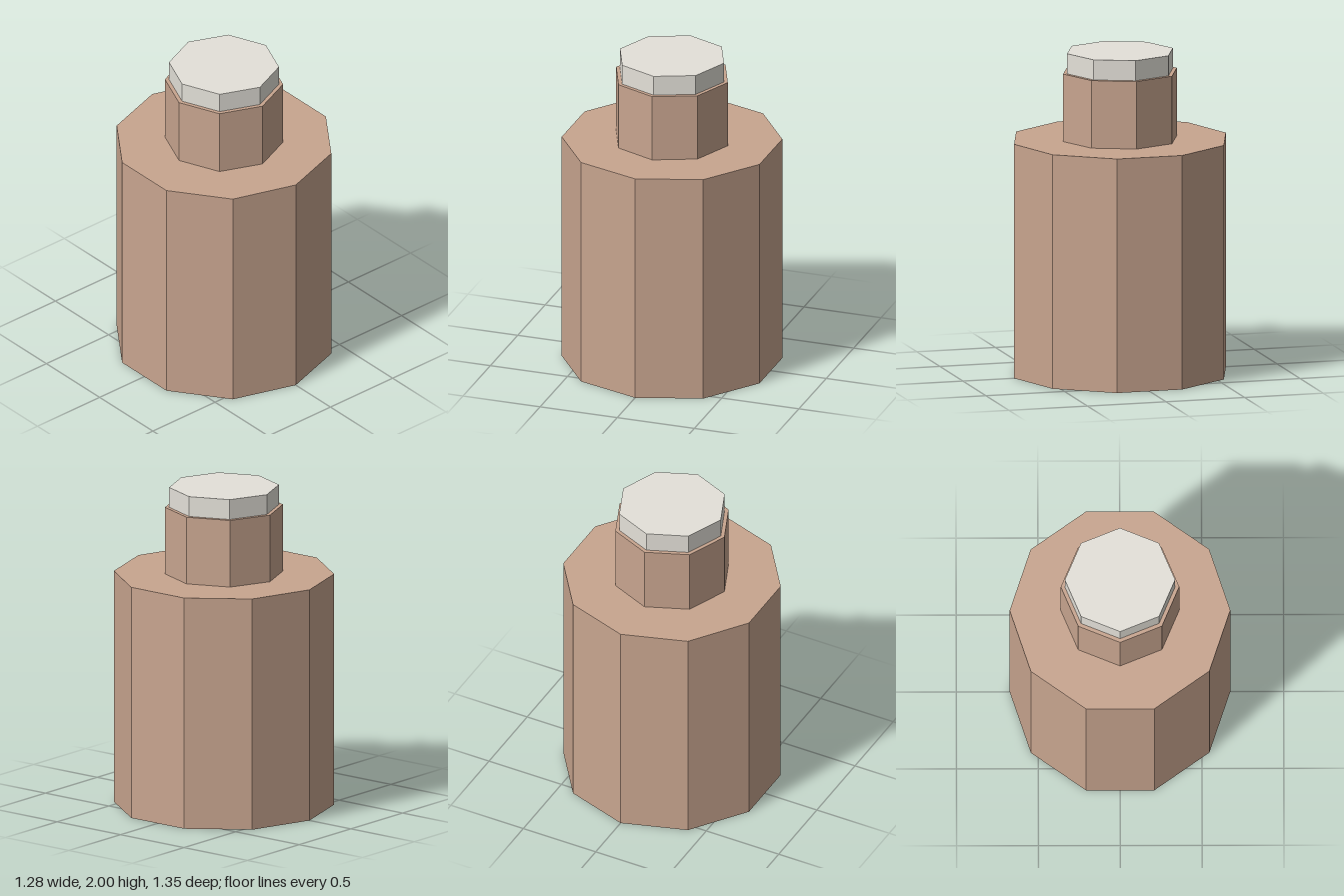
import * as THREE from 'three';

// Faceted prism standing between two heights, with a corner facing +z
function prism(name, radius, bottom, top, sides, color) {
  const geometry = new THREE.CylinderGeometry(radius, radius, top - bottom, sides);
  const material = new THREE.MeshStandardMaterial({ color, flatShading: true });
  const mesh = new THREE.Mesh(geometry, material);
  mesh.name = name;
  mesh.position.y = (bottom + top) / 2;
  return mesh;
}

export function createModel() {
  const model = new THREE.Group();
  model.name = 'bottle';
  const tan = 0xc8a58f, offWhite = 0xe4e1d9;
  model.add(
    prism('body', 0.674, 0, 1.455, 10, tan),
    prism('neck', 0.362, 1.455, 1.875, 8, tan),
    prism('cap', 0.337, 1.875, 2, 8, offWhite),
  );
  return model;
}
